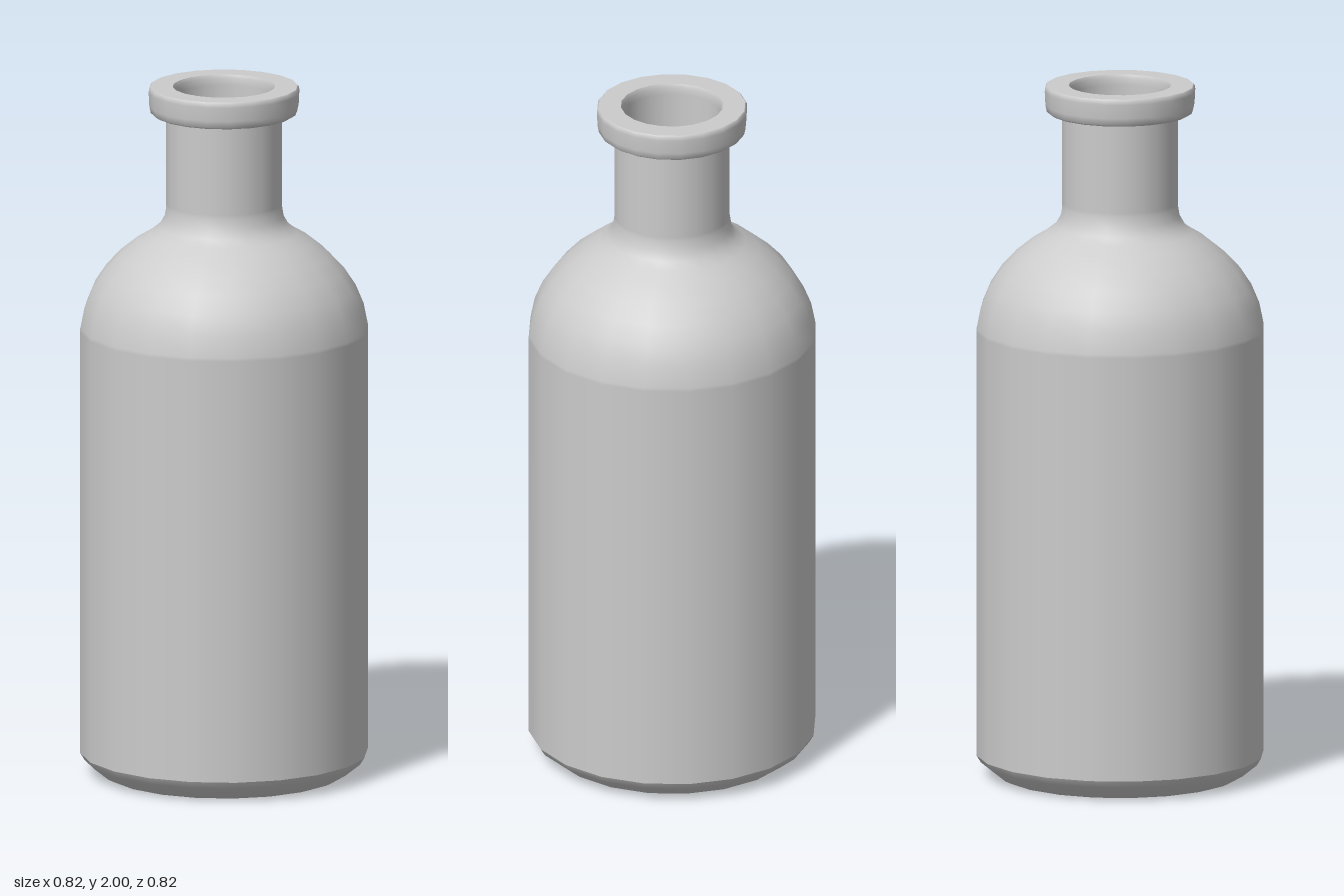
import * as THREE from 'three';

const SIDES = 20;
const material = new THREE.MeshStandardMaterial({ color: 0xcccccc });

// One smooth band of revolution; separate bands meet in sharp edges.
function band(name, profile) {
  const points = profile.map(([r, y]) => new THREE.Vector2(r, y));
  const mesh = new THREE.Mesh(new THREE.LatheGeometry(points, SIDES), material);
  mesh.name = name;
  return mesh;
}

export function createModel() {
  const bottle = new THREE.Group();
  bottle.name = 'bottle';

  // Outside, from the base up
  bottle.add(band('base', [[0, 0], [0.34, 0]]));
  bottle.add(band('baseBevel', [[0.34, 0], [0.356, 0.008], [0.398, 0.042], [0.41, 0.062]]));
  bottle.add(band('bodyAndShoulder', [
    [0.41, 0.062], [0.41, 0.07], [0.41, 1.29], [0.41, 1.30], [0.398, 1.36],
    [0.375, 1.415], [0.342, 1.465], [0.3, 1.51], [0.25, 1.55], [0.21, 1.574],
    [0.185, 1.594], [0.17, 1.62], [0.165, 1.65], [0.165, 1.66], [0.165, 1.92],
  ]));

  // Lip: underside, rounded outer edge and flat top
  bottle.add(band('lipUnderside', [[0.165, 1.92], [0.2, 1.92]]));
  bottle.add(band('lipEdge', [
    [0.2, 1.92], [0.209, 1.926], [0.213, 1.945], [0.215, 1.985], [0.214, 1.995], [0.21, 2],
  ]));
  bottle.add(band('lipTop', [[0.21, 2], [0.146, 2]]));

  // Inside wall, from the mouth down to the floor
  bottle.add(band('innerWall', [
    [0.146, 2], [0.141, 1.99], [0.14, 1.97], [0.14, 1.65], [0.145, 1.61],
    [0.17, 1.57], [0.23, 1.53], [0.31, 1.46], [0.355, 1.39], [0.385, 1.3],
    [0.385, 1.29], [0.385, 0.07], [0.34, 0.025],
  ]));
  bottle.add(band('innerFloor', [[0.34, 0.025], [0, 0.025]]));

  return bottle;
}
